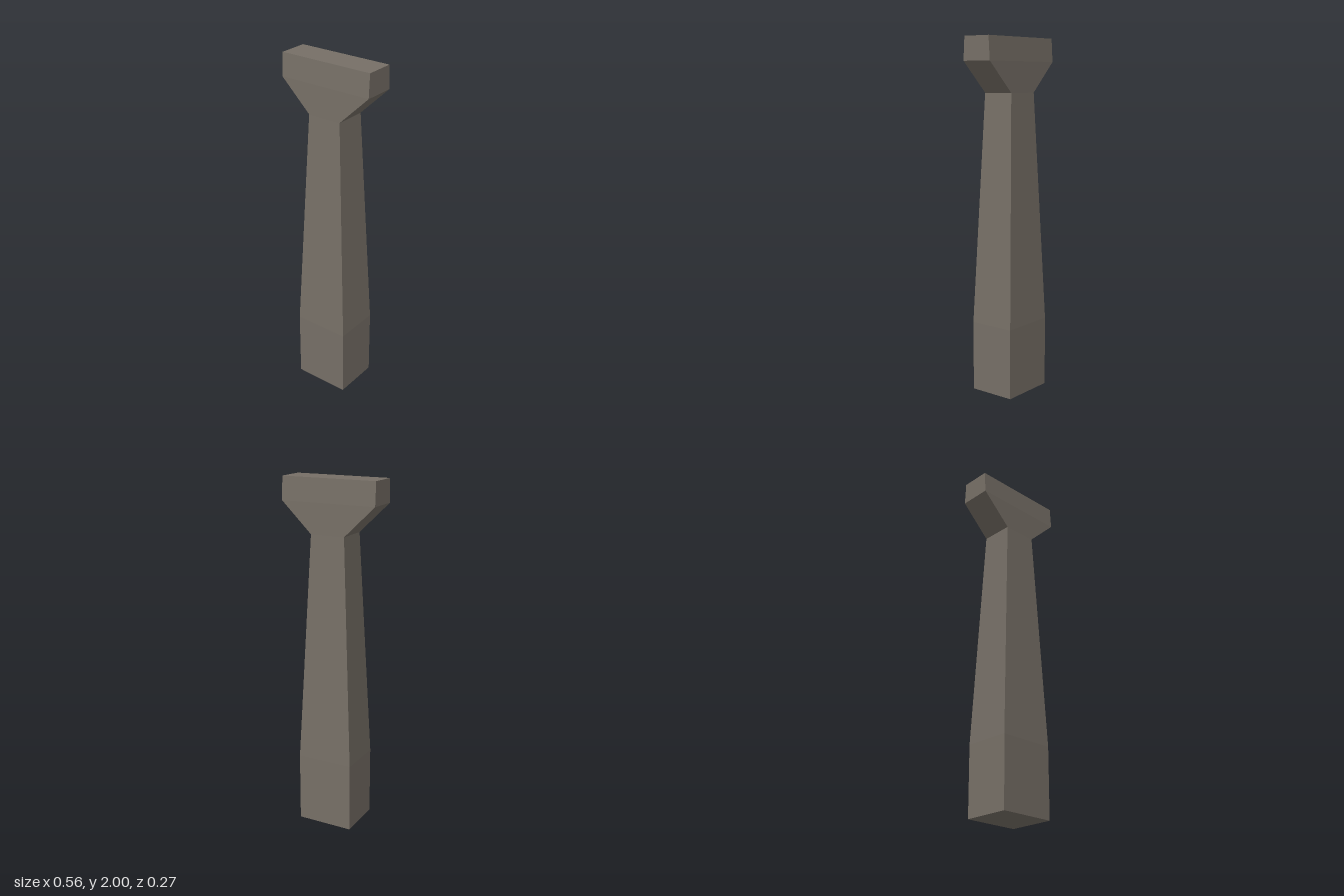
import * as THREE from 'three';

// Joins rectangular sections [y, halfWidth, halfDepth] into a flat-shaded solid
function loft(sections, capBottom, capTop) {
  const rings = sections.map(([y, w, d]) => [[-w, y, d], [w, y, d], [w, y, -d], [-w, y, -d]]);
  const points = [];
  const quad = (a, b, c, d) => points.push(...a, ...b, ...c, ...a, ...c, ...d);
  for (let i = 0; i < rings.length - 1; i++) {
    for (let k = 0; k < 4; k++) {
      const n = (k + 1) % 4;
      quad(rings[i][k], rings[i][n], rings[i + 1][n], rings[i + 1][k]);
    }
  }
  if (capBottom) quad(...[...rings[0]].reverse());
  if (capTop) quad(...rings[rings.length - 1]);
  const geometry = new THREE.BufferGeometry();
  geometry.setAttribute('position', new THREE.Float32BufferAttribute(points, 3));
  geometry.computeVertexNormals();
  return geometry;
}

export function createModel() {
  const group = new THREE.Group();
  group.name = 'pillar';
  const stone = new THREE.MeshStandardMaterial({ color: 0x766f66 });
  stone.name = 'warm grey stone';

  const add = (name, geometry) => {
    const mesh = new THREE.Mesh(geometry, stone);
    mesh.name = name;
    group.add(mesh);
  };

  // Straight foot
  add('foot', loft([[0, 0.163, 0.135], [0.4, 0.163, 0.135]], true, false));
  // Tapering shaft
  add('shaft', loft([[0.4, 0.163, 0.135], [1.7, 0.1, 0.092]], false, false));
  // Flared head with a slightly tapered block on top
  add('head', loft([[1.7, 0.1, 0.092], [1.87, 0.278, 0.091], [2, 0.278, 0.083]], false, true));

  return group;
}
